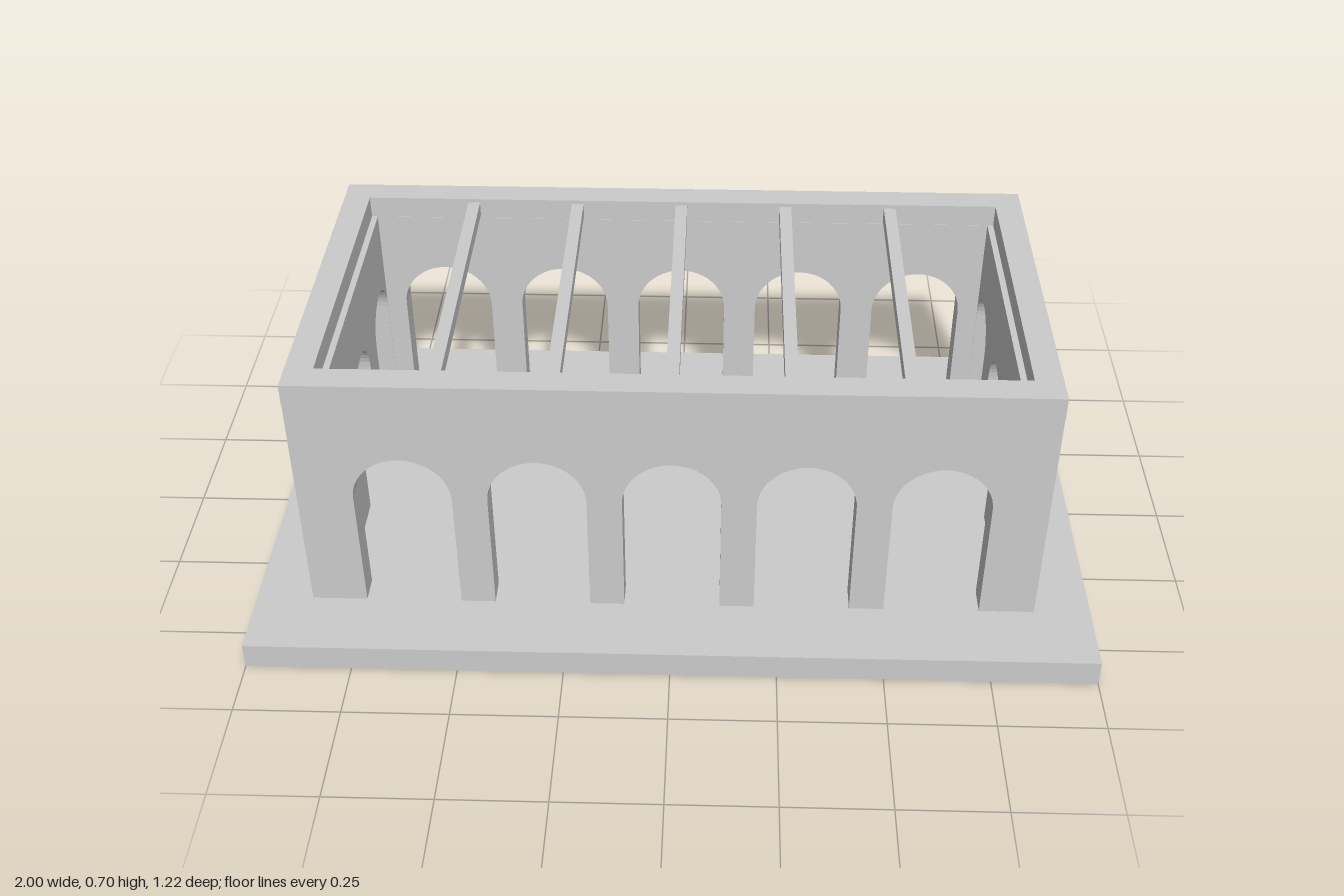
import * as THREE from 'three';

const material = new THREE.MeshStandardMaterial({ color: 0xcccccc });
const BASE_TOP = 0.065, WALL_TOP = 0.645, CAP_TOP = 0.7;

function box(name, x0, x1, y0, y1, z0, z1) {
  const mesh = new THREE.Mesh(new THREE.BoxGeometry(x1 - x0, y1 - y0, z1 - z0), material);
  mesh.position.set((x0 + x1) / 2, (y0 + y1) / 2, (z0 + z1) / 2);
  mesh.name = name;
  return mesh;
}

// Wall in the xy plane with a row of round-headed openings cut up from its foot
function arcadeWall(name, half, centers, radius, spring, depth, segments) {
  const s = new THREE.Shape();
  s.moveTo(-half, BASE_TOP);
  for (const c of centers) {
    s.lineTo(c - radius, BASE_TOP);
    s.lineTo(c - radius, spring);
    s.absarc(c, spring, radius, Math.PI, 0, true);
    s.lineTo(c + radius, BASE_TOP);
  }
  s.lineTo(half, BASE_TOP);
  s.lineTo(half, WALL_TOP);
  s.lineTo(-half, WALL_TOP);
  s.closePath();
  const geometry = new THREE.ExtrudeGeometry(s, { depth, bevelEnabled: false, curveSegments: segments });
  geometry.translate(0, 0, -depth / 2);
  const mesh = new THREE.Mesh(geometry, material);
  mesh.name = name;
  return mesh;
}

export function createModel() {
  const model = new THREE.Group();
  model.name = 'arcadePavilion';

  // Floor slab
  model.add(box('base', -1, 1, 0, BASE_TOP, -0.61, 0.61));

  // Long walls with five arches, and their cap beams
  for (const [side, label] of [[1, 'front'], [-1, 'back']]) {
    const wall = arcadeWall(label + 'Wall', 0.865, [-0.62, -0.31, 0, 0.31, 0.62], 0.114, 0.38, 0.066, 12);
    wall.position.z = side * 0.408;
    model.add(wall);
    const cap = box(label + 'Cap', -0.865, 0.865, WALL_TOP, CAP_TOP, -0.0335, 0.0335);
    cap.position.z = side * 0.4095;
    model.add(cap);
  }

  // Short walls with three arches, and their cap beams
  for (const [side, label] of [[1, 'left'], [-1, 'right']]) {
    const wall = arcadeWall(label + 'Wall', 0.43, [-0.28, 0, 0.28], 0.094, 0.369, 0.075, 10);
    wall.rotation.y = side * Math.PI / 2;
    wall.position.x = side * 0.8225;
    model.add(wall);
    const cap = box(label + 'Cap', -0.0325, 0.0325, WALL_TOP, CAP_TOP, -0.376, 0.376);
    cap.position.x = side * 0.8325;
    model.add(cap);
  }

  // Cross beams spanning the open roof
  for (let i = -2; i <= 2; i++) {
    const x = i * 0.266;
    model.add(box('crossBeam', x - 0.015, x + 0.015, 0.655, 0.69, -0.376, 0.376));
  }

  return model;
}
